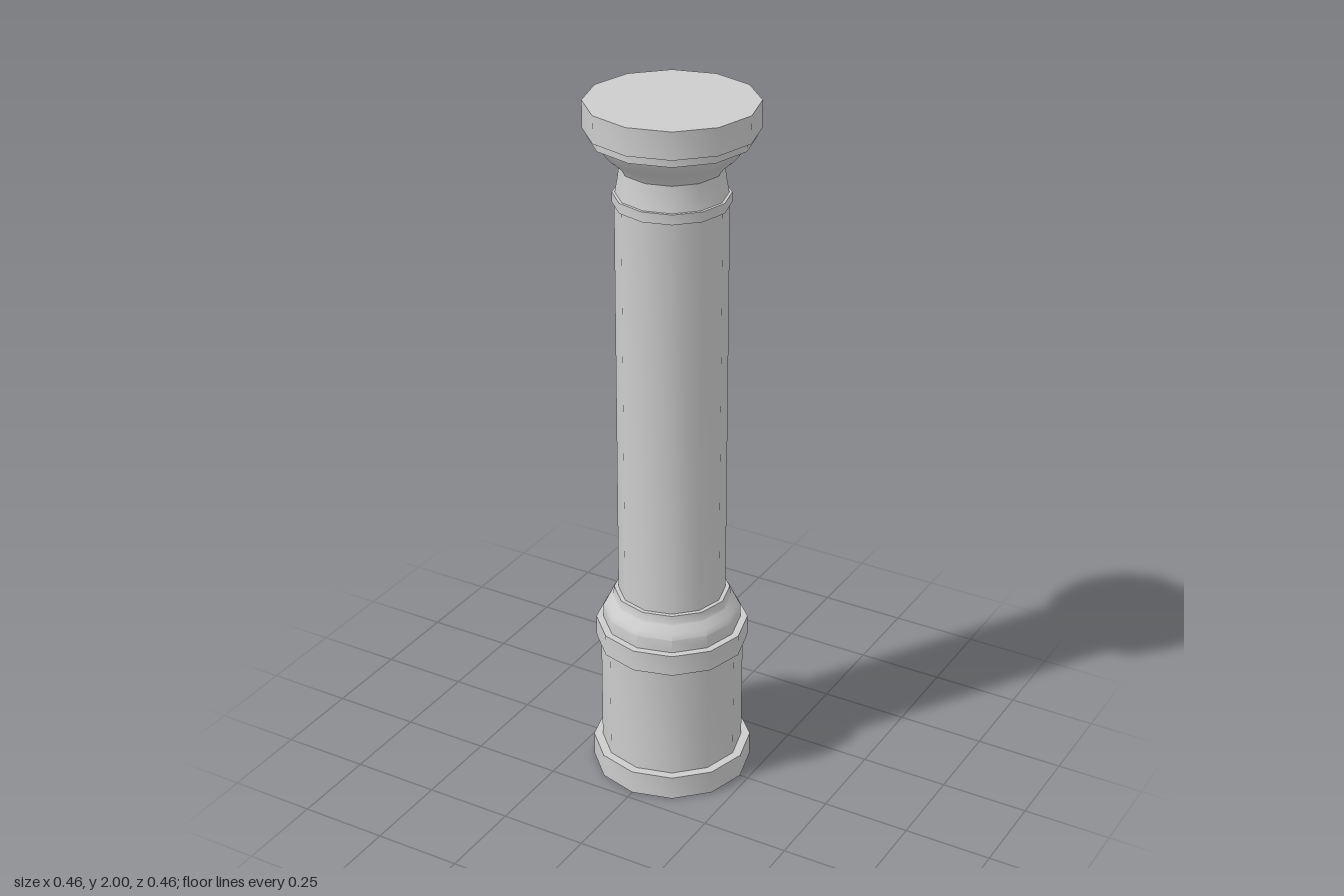
import * as THREE from 'three';
import { toCreasedNormals } from 'three/addons/utils/BufferGeometryUtils.js';

const SIDES = 12;

export function createModel() {
  const column = new THREE.Group();
  column.name = 'column';
  const stone = new THREE.MeshStandardMaterial({ color: 0xcccccc });
  stone.name = 'grey stone';

  const add = (name, geometry) => {
    const mesh = new THREE.Mesh(geometry, stone);
    mesh.name = name;
    column.add(mesh);
    return mesh;
  };

  // Turned section: [radius, height] pairs from bottom to top, smooth around, sharp at mouldings
  const turned = (name, profile) => {
    const points = profile.map(([r, y]) => new THREE.Vector2(r, y));
    return add(name, toCreasedNormals(new THREE.LatheGeometry(points, SIDES), 0.65));
  };

  // Flat end disc
  const cap = (name, radius, y, tilt) => {
    const mesh = add(name, new THREE.CircleGeometry(radius, SIDES));
    mesh.rotation.x = tilt;
    mesh.position.y = y;
  };

  // Pedestal
  cap('underside', 0.225, 0, Math.PI / 2);
  turned('foot', [[0.225, 0], [0.225, 0.07], [0.2, 0.07]]);
  turned('pedestal', [[0.2, 0.07], [0.2, 0.405]]);
  turned('pedestalRim', [[0.2, 0.405], [0.213, 0.405], [0.213, 0.467], [0.193, 0.467]]);

  // Rounded base moulding stepping in to the shaft
  turned('baseMoulding', [
    [0.193, 0.467], [0.193, 0.505], [0.184, 0.522], [0.168, 0.538],
    [0.165, 0.543], [0.162, 0.565], [0.15, 0.565],
  ]);

  turned('shaft', [[0.15, 0.565], [0.15, 1.722]]);
  turned('collar', [[0.15, 1.722], [0.156, 1.722], [0.156, 1.75], [0.148, 1.75]]);

  // Capital
  turned('neck', [
    [0.148, 1.75], [0.142, 1.785], [0.137, 1.82], [0.15, 1.84],
    [0.175, 1.862], [0.195, 1.884], [0.205, 1.902],
  ]);
  turned('capitalFillet', [[0.205, 1.902], [0.218, 1.902], [0.218, 1.925]]);
  turned('capitalSlab', [[0.218, 1.925], [0.23, 1.925], [0.23, 2]]);
  cap('topFace', 0.23, 2, -Math.PI / 2);

  return column;
}
